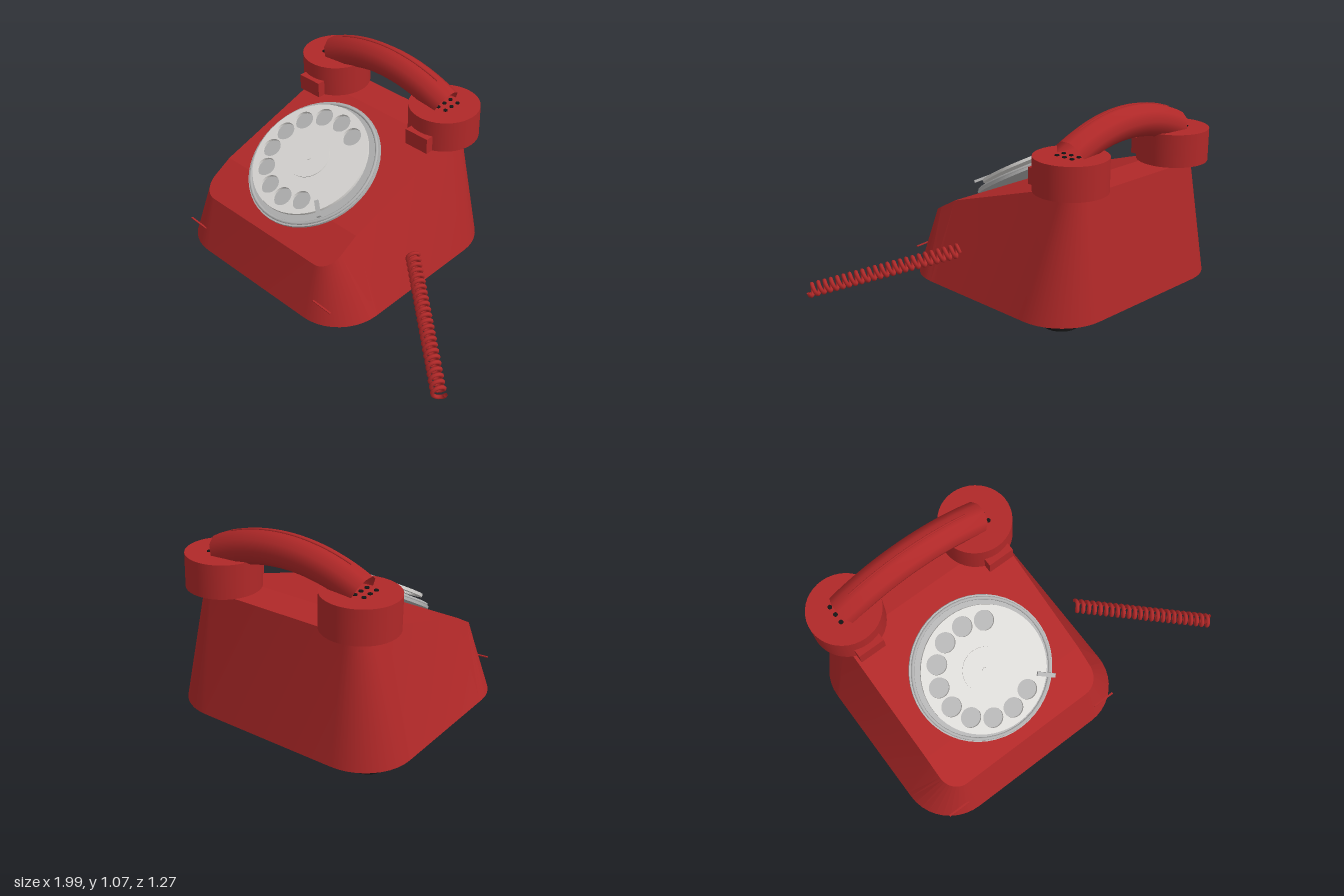
import * as THREE from 'three';
import { toCreasedNormals } from 'three/addons/utils/BufferGeometryUtils.js';

const CX = -0.335; // centre line of the telephone; the cord trails off to +x

const mat = (name, color) => {
  const m = new THREE.MeshStandardMaterial({ color });
  m.name = name;
  return m;
};

// Half of a rounded rectangle, running from front to back, with extra points on the side
function halfOutline(w, d, r, extraZ) {
  const pts = [];
  const arc = (from, cz) => {
    for (let i = 0; i <= 10; i++) {
      const a = from - (i / 10) * Math.PI / 2;
      pts.push([w - r + r * Math.cos(a), cz + r * Math.sin(a)]);
    }
  };
  arc(Math.PI / 2, d - r);
  extraZ.forEach(z => pts.push([w, z]));
  arc(0, r - d);
  return pts;
}

// Height of the sloping top at depth z
function topHeight(z) {
  if (z > 0.34) return 0.48 - (z - 0.34) * 0.571;
  if (z > -0.35) return 0.70 - (z + 0.35) * 0.319;
  return 0.70;
}

// Tapered body: rounded base outline lofted to a smaller, sloping top outline
function bodyGeometry() {
  const base = halfOutline(0.665, 0.635, 0.27, [0.34, -0.35]);
  const top = halfOutline(0.5, 0.55, 0.1, [0.34, -0.35]);
  const rows = base.map(([bx, bz], i) => {
    const [tx, tz] = top[i], y = topHeight(tz);
    return [[bx, 0.04, bz], [tx, y, tz], [-tx, y, tz], [-bx, 0.04, bz]];
  });
  const pos = [];
  const quad = (a, b, c, d) => pos.push(...a, ...b, ...c, ...a, ...c, ...d);
  for (let i = 0; i < rows.length - 1; i++) {
    for (let k = 0; k < 4; k++) {
      const n = (k + 1) % 4;
      quad(rows[i][k], rows[i + 1][k], rows[i + 1][n], rows[i][n]);
    }
  }
  const f = rows[0], b = rows[rows.length - 1];
  quad(f[3], f[0], f[1], f[2]);
  quad(b[0], b[3], b[2], b[1]);
  const g = new THREE.BufferGeometry();
  g.setAttribute('position', new THREE.Float32BufferAttribute(pos, 3));
  return toCreasedNormals(g, 0.2);
}

// Arc in the xy plane, measured from straight up
class ArchCurve extends THREE.Curve {
  constructor(radius, halfAngle) {
    super();
    this.radius = radius;
    this.halfAngle = halfAngle;
  }
  getPoint(t, target = new THREE.Vector3()) {
    const a = (t * 2 - 1) * this.halfAngle;
    return target.set(Math.sin(a) * this.radius, Math.cos(a) * this.radius, 0);
  }
}

// Helix wound around a straight line
class CoilCurve extends THREE.Curve {
  constructor(start, end, radius, turns) {
    super();
    Object.assign(this, { start, end, radius, turns });
    const axis = end.clone().sub(start).normalize();
    this.u = new THREE.Vector3(0, 1, 0).cross(axis).normalize();
    this.v = axis.clone().cross(this.u);
  }
  getPoint(t, target = new THREE.Vector3()) {
    const a = t * this.turns * Math.PI * 2;
    return target.lerpVectors(this.start, this.end, t)
      .addScaledVector(this.u, Math.cos(a) * this.radius)
      .addScaledVector(this.v, Math.sin(a) * this.radius);
  }
}

export function createModel() {
  const model = new THREE.Group();
  model.name = 'rotaryTelephone';
  const red = mat('redShell', 0xb02828);
  const openRed = mat('redHandset', 0xb02828);
  openRed.side = THREE.DoubleSide;
  const ivory = mat('dialPlate', 0xdad8d5);
  const grey = mat('dialMetal', 0xb2b2b2);
  const black = mat('blackRubber', 0x141414);

  const add = (name, geo, material, x, y, z, parent = model) => {
    const m = new THREE.Mesh(geo, material);
    m.name = name;
    m.position.set(x, y, z);
    parent.add(m);
    return m;
  };

  add('body', bodyGeometry(), red, CX, 0, 0);

  // Feet, cradle cups and small trim, mirrored about the centre line
  const footGeo = new THREE.CylinderGeometry(0.094, 0.094, 0.045, 24);
  const cupGeo = new THREE.CylinderGeometry(0.195, 0.195, 0.18, 40);
  const hookGeo = new THREE.BoxGeometry(0.15, 0.09, 0.09);
  const holeGeo = new THREE.CylinderGeometry(0.012, 0.012, 0.006, 10);
  const stripGeo = new THREE.BoxGeometry(0.13, 0.005, 0.01);
  for (const s of [-1, 1]) {
    for (const z of [-0.455, 0.455]) add('foot', footGeo, black, CX + s * 0.485, 0.0225, z);
    const x = CX + s * 0.41;
    add('cradleCup', cupGeo, red, x, 0.79, -0.44);
    add('cradleHook', hookGeo, red, x, 0.745, -0.26);
    for (const dx of [0, 0.05]) {
      for (const dz of [-0.05, 0, 0.05]) {
        add('speakerHole', holeGeo, black, x + s * dx, 0.882, -0.44 + dz);
      }
    }
    add('trimStrip', stripGeo, red, CX + s * 0.5, 0.16, 0.6).rotation.z = -0.06;
  }

  // Handset: open ten-sided arched tube with a thin seam along the top
  const handset = new THREE.Group();
  handset.name = 'handset';
  handset.position.set(CX, 0.025, -0.44);
  model.add(handset);
  const grip = new THREE.TubeGeometry(new ArchCurve(0.951, 0.453), 28, 0.089, 10);
  add('handsetGrip', grip, openRed, 0, 0, 0, handset);
  const seam = new THREE.TubeGeometry(new ArchCurve(1.036, 0.35), 24, 0.006, 6);
  add('handsetSeam', seam, red, 0, 0, 0, handset);

  // Dial: tilted stack of backing plate, rim and finger wheel
  const dial = new THREE.Group();
  dial.name = 'dial';
  dial.position.set(CX, 0.6, 0.158);
  dial.rotation.x = -Math.PI / 3;
  model.add(dial);
  const disc = (r, h, n = 48) => new THREE.CylinderGeometry(r, r, h, n).rotateX(Math.PI / 2);
  add('dialBacking', disc(0.387, 0.014), grey, 0, 0, -0.006, dial);
  add('dialRim', new THREE.TorusGeometry(0.37, 0.009, 8, 48), grey, 0, 0, 0.006, dial);

  const wheel = new THREE.Shape().absarc(0, 0, 0.338, 0, Math.PI * 2);
  for (let i = 0; i < 10; i++) {
    const a = THREE.MathUtils.degToRad(57.5 + i * 27);
    const hole = new THREE.Path();
    hole.absarc(Math.cos(a) * 0.256, Math.sin(a) * 0.256, 0.054, 0, Math.PI * 2, true);
    wheel.holes.push(hole);
  }
  const wheelGeo = new THREE.ExtrudeGeometry(wheel, { depth: 0.016, bevelEnabled: false, curveSegments: 28 });
  add('fingerWheel', toCreasedNormals(wheelGeo, 0.6), ivory, 0, 0, 0.036, dial);
  add('dialHub', disc(0.12, 0.008), ivory, 0, 0, 0.053, dial);
  add('dialPin', disc(0.014, 0.006, 16), ivory, 0, 0, 0.058, dial);
  const stop = add('fingerStop', new THREE.BoxGeometry(0.1, 0.022, 0.014), grey, 0.256, -0.215, 0.06, dial);
  stop.rotation.z = -0.72;

  // Coiled cord
  const coil = new CoilCurve(
    new THREE.Vector3(0.345, 0.303, 0.1), new THREE.Vector3(0.965, 0.107, 0.6), 0.031, 24);
  add('coiledCord', new THREE.TubeGeometry(coil, 24 * 16, 0.011, 7), openRed, 0, 0, 0);

  return model;
}
